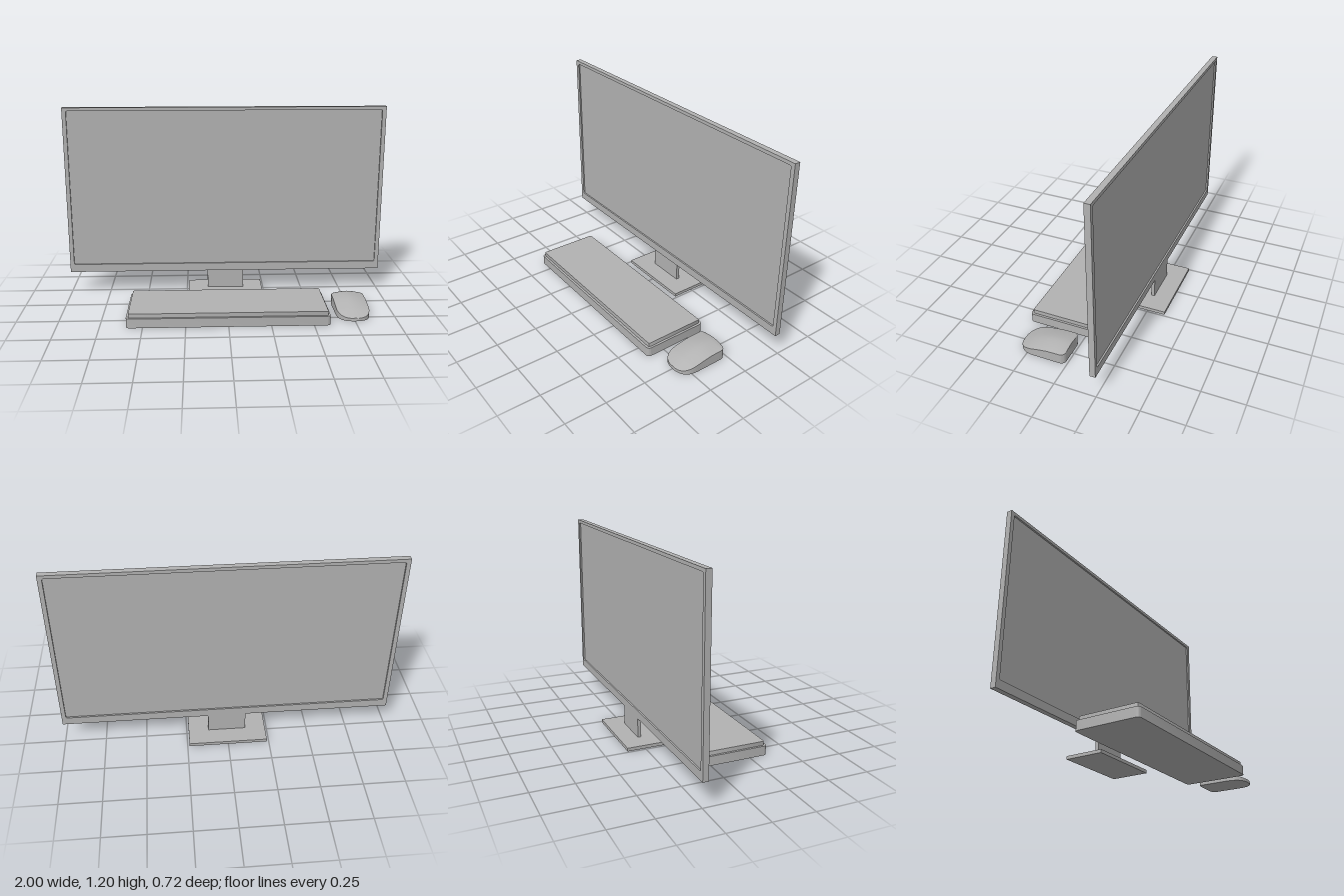
import * as THREE from 'three';
import { toCreasedNormals } from 'three/addons/utils/BufferGeometryUtils.js';

const grey = new THREE.MeshStandardMaterial({ color: 0xb2b2b2 });
grey.name = 'plain grey';

function add(group, name, geometry, x = 0, y = 0, z = 0) {
  const mesh = new THREE.Mesh(geometry, grey);
  mesh.name = name;
  mesh.position.set(x, y, z);
  group.add(mesh);
}

// Rounded rectangle centred on the origin, w by h with corner radius r
function roundedRect(Type, w, h, r) {
  const p = new Type();
  const x = w / 2 - r, y = h / 2 - r;
  p.absarc(x, y, r, 0, Math.PI / 2);
  p.absarc(-x, y, r, Math.PI / 2, Math.PI);
  p.absarc(-x, -y, r, Math.PI, Math.PI * 1.5);
  p.absarc(x, -y, r, Math.PI * 1.5, Math.PI * 2);
  p.closePath();
  return p;
}

const extrude = (shape, depth) => toCreasedNormals(
  new THREE.ExtrudeGeometry(shape, { depth, bevelEnabled: false, curveSegments: 6 }), 0.6);

// Horizontal slab with rounded corners, resting on its local y = 0
const slab = (w, h, d, r) => extrude(roundedRect(THREE.Shape, w, d, r), h).rotateX(-Math.PI / 2);

// Linear interpolation through [z, value] points
function sample(points, z) {
  for (let i = 1; i < points.length; i++) {
    const [a, va] = points[i - 1], [b, vb] = points[i];
    if (z <= b) return THREE.MathUtils.lerp(va, vb, Math.max(0, (z - a) / (b - a)));
  }
  return points[points.length - 1][1];
}

// Mouse: cross-sections along z with upright sides and a crowned top
function mouseGeometry() {
  const z0 = 0.013, z1 = 0.31, r = 0.03, frontStart = 0.2, half = 0.099;
  const edge = [[z0, 0.064], [0.12, 0.061], [0.18, 0.052], [0.243, 0.039], [z1, 0.018]];
  const crest = [[z0, 0.075], [0.04, 0.080], [0.1, 0.082], [0.148, 0.076], [0.2, 0.063], [0.243, 0.049], [z1, 0.02]];
  const stations = [];
  for (let i = 0; i <= 6; i++) {
    const a = i / 6 * Math.PI / 2;
    stations.push([z0 + r * (1 - Math.cos(a)), half - r + r * Math.sin(a)]);
  }
  for (let i = 1; i <= 6; i++) stations.push([z0 + r + (frontStart - z0 - r) * i / 6, half]);
  for (let i = 1; i <= 12; i++) {
    const t = Math.sin(i / 12 * Math.PI / 2);
    stations.push([frontStart + (z1 - frontStart) * t, Math.max(0.015, half * Math.pow(1 - Math.pow(t, 2.6), 1 / 2.6))]);
  }
  const across = 12;
  const rings = stations.map(([z, w]) => {
    const e = sample(edge, z), c = sample(crest, z);
    const ring = [[-w, 0, z]];
    for (let j = 0; j <= across; j++) {
      const u = j / across * 2 - 1;
      ring.push([w * u, e + (c - e) * (1 - Math.pow(Math.abs(u), 1.6)), z]);
    }
    ring.push([w, 0, z]);
    return ring;
  });
  const pos = [];
  const tri = (a, b, c) => pos.push(...a, ...b, ...c);
  const n = rings[0].length;
  for (let i = 0; i < rings.length - 1; i++) {
    for (let j = 0; j < n; j++) {
      const k = (j + 1) % n;
      const a = rings[i][j], b = rings[i][k], c = rings[i + 1][k], d = rings[i + 1][j];
      tri(a, d, c);
      tri(a, c, b);
    }
  }
  // Flat back and front ends
  const first = rings[0], last = rings[rings.length - 1];
  for (let j = 1; j < n - 1; j++) {
    tri(first[0], first[j], first[j + 1]);
    tri(last[0], last[j + 1], last[j]);
  }
  const g = new THREE.BufferGeometry();
  g.setAttribute('position', new THREE.Float32BufferAttribute(pos, 3));
  return toCreasedNormals(g, 0.6);
}

export function createModel() {
  const model = new THREE.Group();
  model.name = 'desktopSet';

  // Monitor: open frame with the panel recessed on both faces
  const monitor = new THREE.Group();
  monitor.name = 'monitor';
  const frame = new THREE.Shape([
    new THREE.Vector2(-1, -0.53), new THREE.Vector2(1, -0.53),
    new THREE.Vector2(1, 0.53), new THREE.Vector2(-1, 0.53)]);
  const opening = roundedRect(THREE.Path, 1.95, 0.99, 0.01);
  frame.holes.push(new THREE.Path(opening.getPoints(6).map((p) => p.add(new THREE.Vector2(0, 0.015)))));
  add(monitor, 'frame', extrude(frame, 0.034), 0, 0.67, -0.249);
  add(monitor, 'screenPanel', new THREE.BoxGeometry(1.952, 0.992, 0.014), 0, 0.685, -0.232);

  // Stand
  add(monitor, 'standNeck', new THREE.BoxGeometry(0.23, 0.12, 0.021), 0, 0.08, -0.2385);
  add(monitor, 'standBase', new THREE.BoxGeometry(0.476, 0.02, 0.24), 0, 0.01, -0.24);
  model.add(monitor);

  // Keyboard: rounded case with a raised key plate
  const keyboard = new THREE.Group();
  keyboard.name = 'keyboard';
  add(keyboard, 'keyboardCase', slab(1.192, 0.057, 0.396, 0.022), 0, 0, 0.163);
  add(keyboard, 'keyPlate', slab(1.166, 0.027, 0.366, 0.008), 0, 0.055, 0.164);
  model.add(keyboard);

  add(model, 'mouse', mouseGeometry(), 0.751, 0, 0);
  return model;
}
